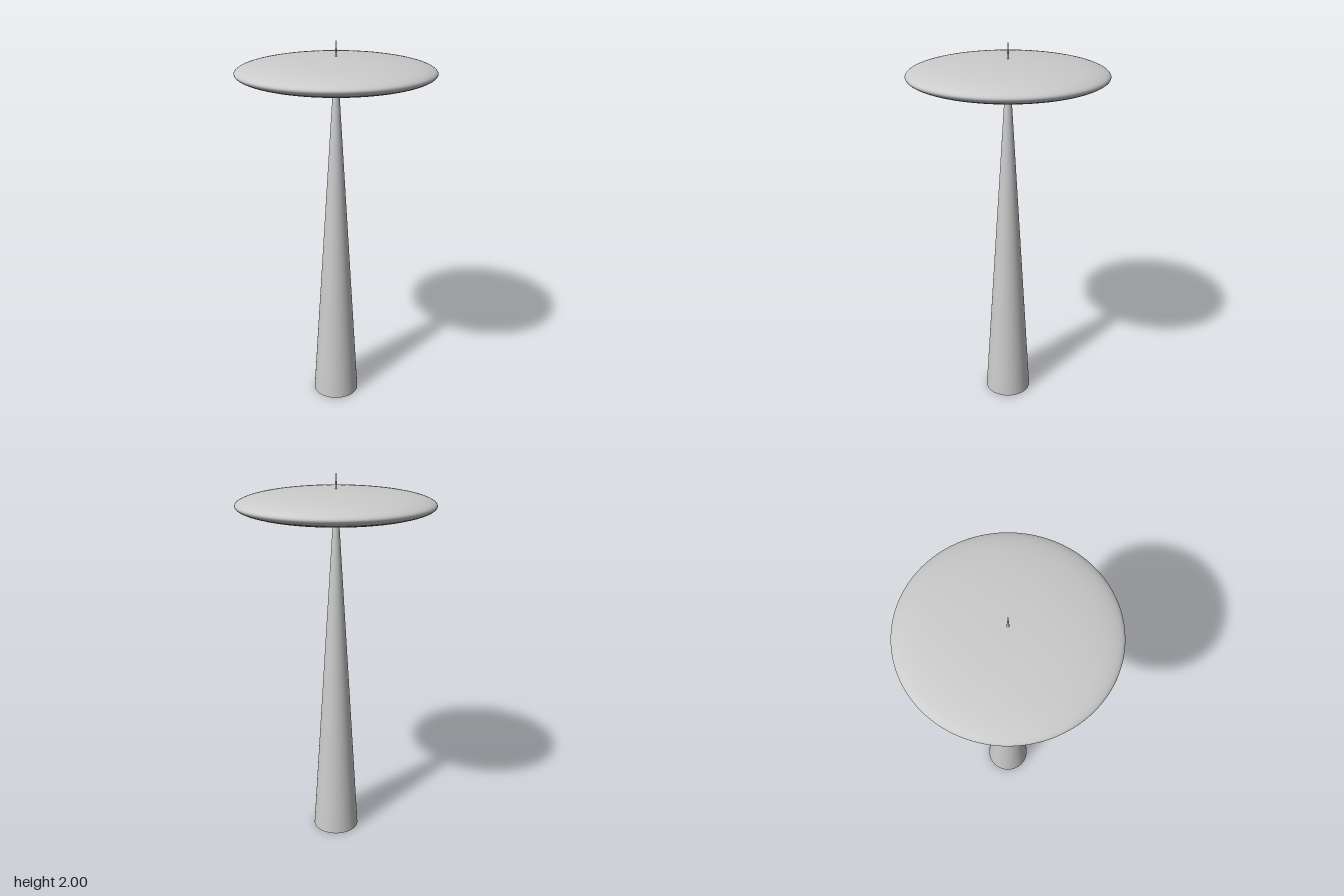
import * as THREE from 'three';

export function createModel() {
  const model = new THREE.Group();
  const material = new THREE.MeshStandardMaterial({ color: 0xcccccc });

  // Tall tapering tower, ending in a needle above the disc
  const tower = new THREE.Mesh(new THREE.ConeGeometry(0.125, 2, 64, 8), material);
  tower.name = 'tower';
  tower.position.y = 1;
  model.add(tower);

  // Flattened ellipsoid threaded on the tower
  const disc = new THREE.Mesh(new THREE.SphereGeometry(0.5, 96, 48).scale(1, 0.15, 1), material);
  disc.name = 'disc';
  disc.position.y = 1.83;
  model.add(disc);

  return model;
}
